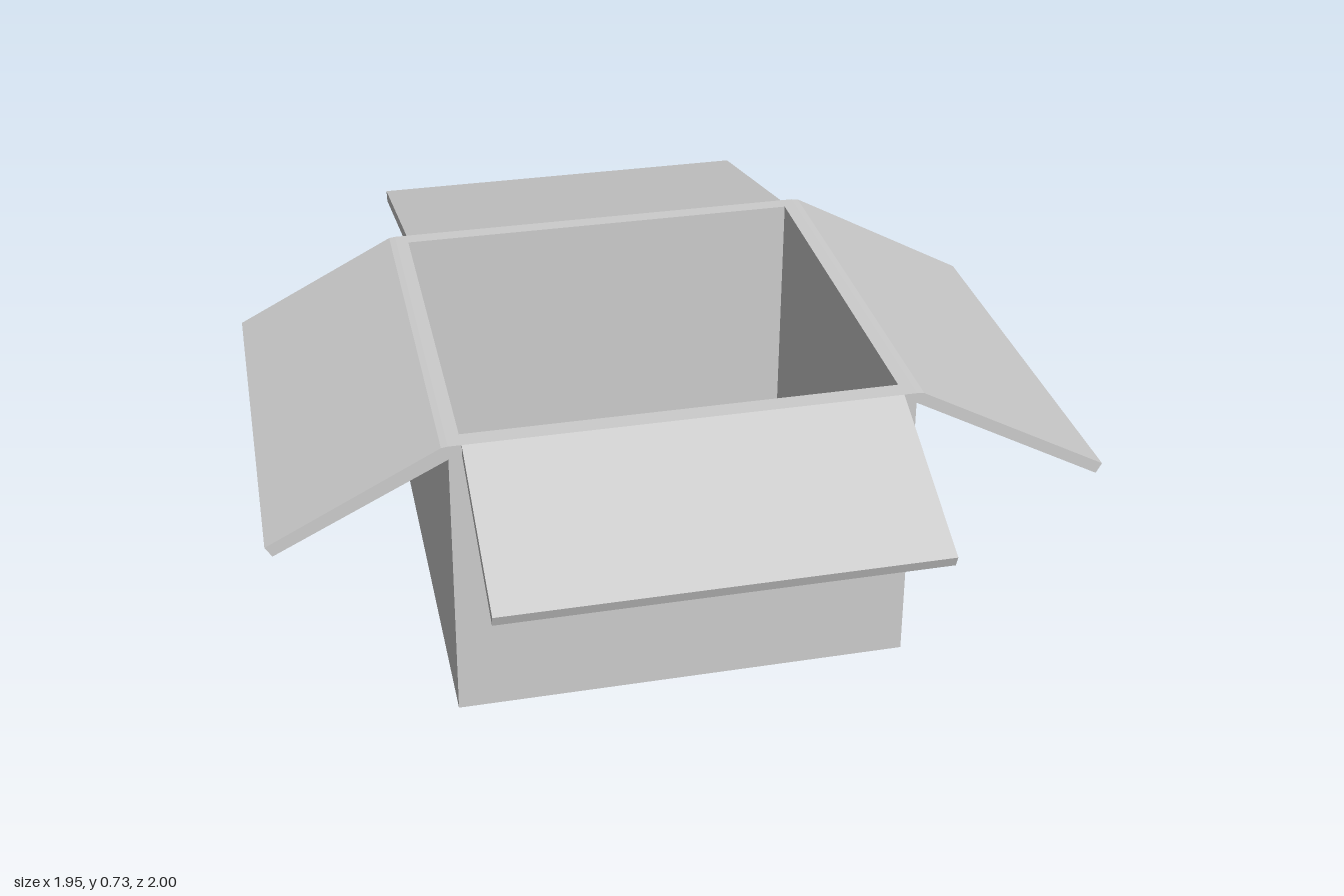
import * as THREE from 'three';

export function createModel() {
  const box = new THREE.Group();
  box.name = 'openBox';
  const cardboard = new THREE.MeshStandardMaterial({ color: 0xcccccc });
  cardboard.name = 'cardboard';

  // Panel with an x/y cross-section, extruded from z = from to z = to
  function panel(name, section, from, to) {
    const shape = new THREE.Shape(section.map(([x, y]) => new THREE.Vector2(x, y)));
    const geometry = new THREE.ExtrudeGeometry(shape, { depth: to - from, bevelEnabled: false, steps: 1 });
    geometry.translate(0, 0, from);
    const mesh = new THREE.Mesh(geometry, cardboard);
    mesh.name = name;
    box.add(mesh);
    return mesh;
  }

  // Panel with a z/y cross-section, spanning the inside width along x
  function crossPanel(name, section) {
    panel(name, section, -0.465, 0.535).geometry.rotateY(-Math.PI / 2);
  }

  // Floor, set slightly below the walls
  crossPanel('floor', [[-0.39, 0], [0.56, 0], [0.56, 0.035], [-0.39, 0.035]]);

  // Front and back walls
  crossPanel('frontWall', [[0.56, 0.01], [0.605, 0.01], [0.605, 0.73], [0.56, 0.73]]);
  crossPanel('backWall', [[-0.43, 0.01], [-0.39, 0.01], [-0.39, 0.73], [-0.43, 0.73]]);

  // Side walls lean out slightly towards the base
  const back = -0.43, front = 0.605;
  panel('rightWall', [[-0.575, 0.01], [-0.535, 0.01], [-0.535, 0.73], [-0.565, 0.73]], back, front);
  panel('leftWall', [[0.465, 0.01], [0.505, 0.01], [0.495, 0.73], [0.465, 0.73]], back, front);

  // Four folded-out flaps, each at its own angle
  panel('rightFlap', [[-0.565, 0.73], [-0.58, 0.728], [-0.975, 0.525], [-0.96, 0.5], [-0.565, 0.697]], back, front);
  panel('leftFlap', [[0.495, 0.73], [0.512, 0.728], [0.97, 0.478], [0.957, 0.453], [0.495, 0.705]], back, front);
  crossPanel('frontFlap', [[0.605, 0.73], [1, 0.557], [0.99, 0.53], [0.605, 0.7]]);
  crossPanel('backFlap', [[-0.43, 0.73], [-1, 0.595], [-0.993, 0.567], [-0.43, 0.7]]);

  return box;
}
